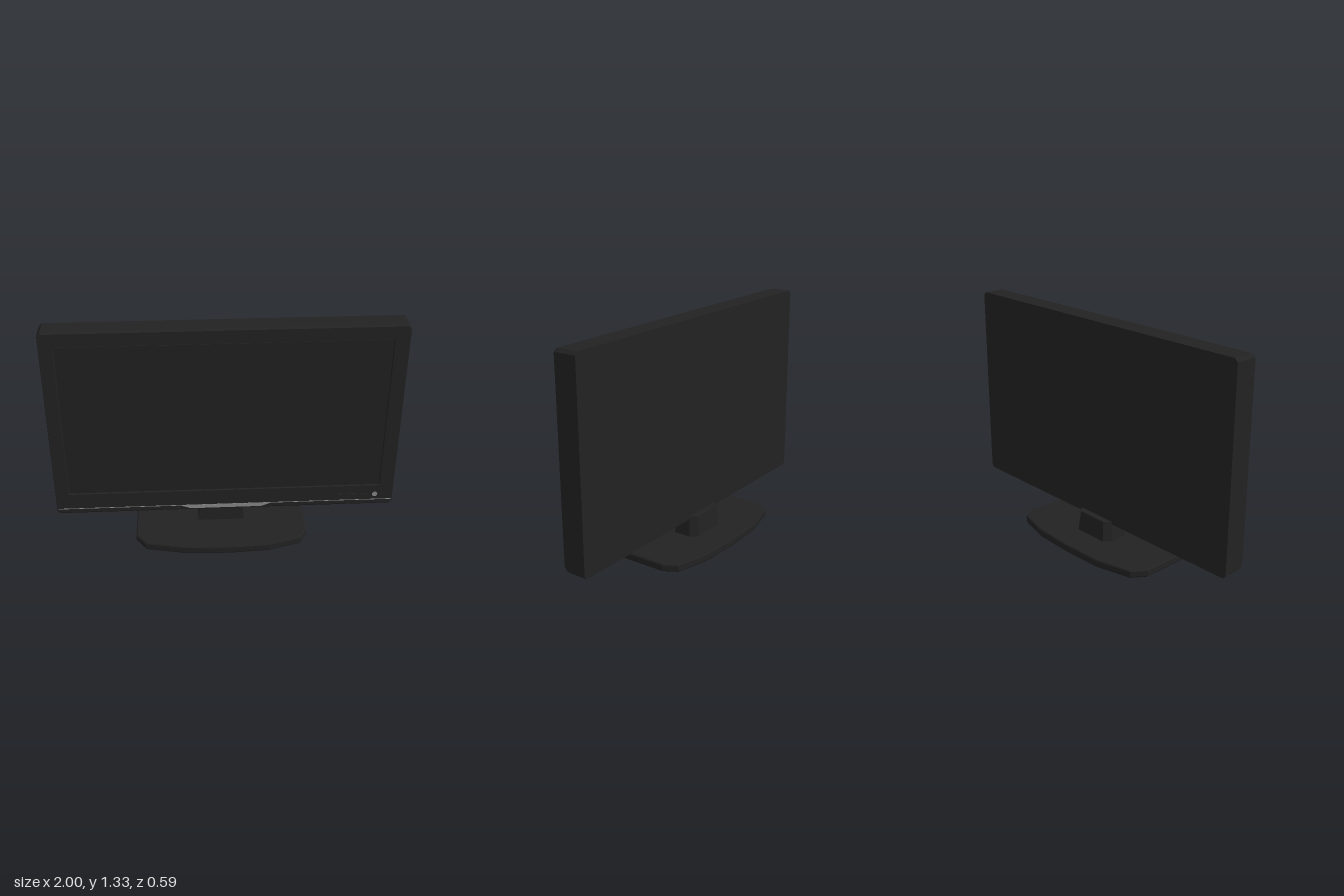
import * as THREE from 'three';

// Joins rings of [x, y, z] points into a faceted solid with closed ends.
function loft(rings) {
  const pos = [];
  const tri = (a, b, c) => pos.push(...a, ...b, ...c);
  const n = rings[0].length;
  for (let r = 0; r < rings.length - 1; r++) {
    const a = rings[r], b = rings[r + 1];
    for (let i = 0; i < n; i++) {
      const j = (i + 1) % n;
      tri(a[i], a[j], b[j]);
      tri(a[i], b[j], b[i]);
    }
  }
  const first = rings[0], last = rings[rings.length - 1];
  for (let i = 1; i < n - 1; i++) {
    tri(first[0], first[i + 1], first[i]);
    tri(last[0], last[i], last[i + 1]);
  }
  const g = new THREE.BufferGeometry();
  g.setAttribute('position', new THREE.Float32BufferAttribute(pos, 3));
  g.computeVertexNormals();
  return g;
}

// Upright rectangle with cut corners
const rectRing = (x0, x1, y0, y1, c, z) => [
  [x0 + c, y0, z], [x1 - c, y0, z], [x1, y0 + c, z], [x1, y1 - c, z],
  [x1 - c, y1, z], [x0 + c, y1, z], [x0, y1 - c, z], [x0, y0 + c, z],
];

// Level outline, scaled about a centre on x
const levelRing = (outline, y, s = 1, cx = -0.03) =>
  outline.map(([x, z]) => [cx + (x - cx) * s, y, z * s]);

export function createModel() {
  const model = new THREE.Group();
  const material = (name, color) => {
    const m = new THREE.MeshStandardMaterial({ color });
    m.name = name;
    return m;
  };
  const black = material('black plastic', 0x222222);
  const glass = material('dark screen', 0x212121);
  const silver = material('silver trim', 0x8c8c8c);

  const add = (name, geometry, mat, x = 0, y = 0, z = 0) => {
    const mesh = new THREE.Mesh(geometry, mat);
    mesh.name = name;
    mesh.position.set(x, y, z);
    model.add(mesh);
    return mesh;
  };

  // Housing with chamfered front edges and a shallow screen recess
  add('housing', loft([
    rectRing(-1, 1, 0.148, 1.325, 0.018, -0.07),
    rectRing(-1, 1, 0.148, 1.325, 0.018, 0.05),
    rectRing(-0.995, 0.995, 0.166, 1.32, 0.018, 0.07),
    rectRing(-0.921, 0.914, 0.292, 1.245, 0.002, 0.07),
    rectRing(-0.917, 0.91, 0.296, 1.241, 0.002, 0.06),
  ]), black);
  add('screen', new THREE.BoxGeometry(1.825, 0.943, 0.004), glass, -0.0035, 0.7685, 0.0615);

  // Silver line and central accent along the lower bezel
  add('trimLine', new THREE.BoxGeometry(1.98, 0.004, 0.002), silver, 0, 0.192, 0.07);
  const accent = new THREE.Shape([
    new THREE.Vector2(-0.27, 0.192), new THREE.Vector2(-0.21, 0.169),
    new THREE.Vector2(0.21, 0.169), new THREE.Vector2(0.27, 0.192),
  ]);
  add('trimAccent', new THREE.ExtrudeGeometry(accent, { depth: 0.003, bevelEnabled: false }),
    silver, 0, 0, 0.069);

  // Control buttons
  for (const x of [0.68, 0.75, 0.82]) {
    add('controlButton', new THREE.BoxGeometry(0.045, 0.014, 0.01), black, x, 0.232, 0.072);
  }
  const rim = add('powerButtonRim', new THREE.CylinderGeometry(0.021, 0.021, 0.01, 16), black, 0.887, 0.234, 0.072);
  const power = add('powerButton', new THREE.CylinderGeometry(0.016, 0.017, 0.01, 16), silver, 0.887, 0.234, 0.074);
  rim.rotation.x = power.rotation.x = Math.PI / 2;

  // Tapered neck with cut rear corners
  add('neck', loft([
    [[-0.165, 0.04, 0.026], [0.112, 0.04, 0.026], [0.112, 0.04, -0.08], [0.08, 0.04, -0.12], [-0.133, 0.04, -0.12], [-0.165, 0.04, -0.08]],
    [[-0.152, 0.165, 0.015], [0.1, 0.165, 0.015], [0.1, 0.165, -0.072], [0.07, 0.165, -0.108], [-0.122, 0.165, -0.108], [-0.152, 0.165, -0.072]],
  ]), black);

  // Foot plate with bowed front and back
  const outline = [
    [-0.537, 0.15], [-0.48, 0.233], [-0.26, 0.281], [-0.1, 0.293], [0.04, 0.293],
    [0.24, 0.281], [0.432, 0.225], [0.477, 0.143], [0.477, -0.157], [0.432, -0.235],
    [0.24, -0.287], [0, -0.299], [-0.26, -0.293], [-0.48, -0.24], [-0.537, -0.16],
  ];
  add('footPlate', loft([
    levelRing(outline, 0, 0.99), levelRing(outline, 0.007),
    levelRing(outline, 0.038), levelRing(outline, 0.045, 0.985),
  ]), black);

  return model;
}
